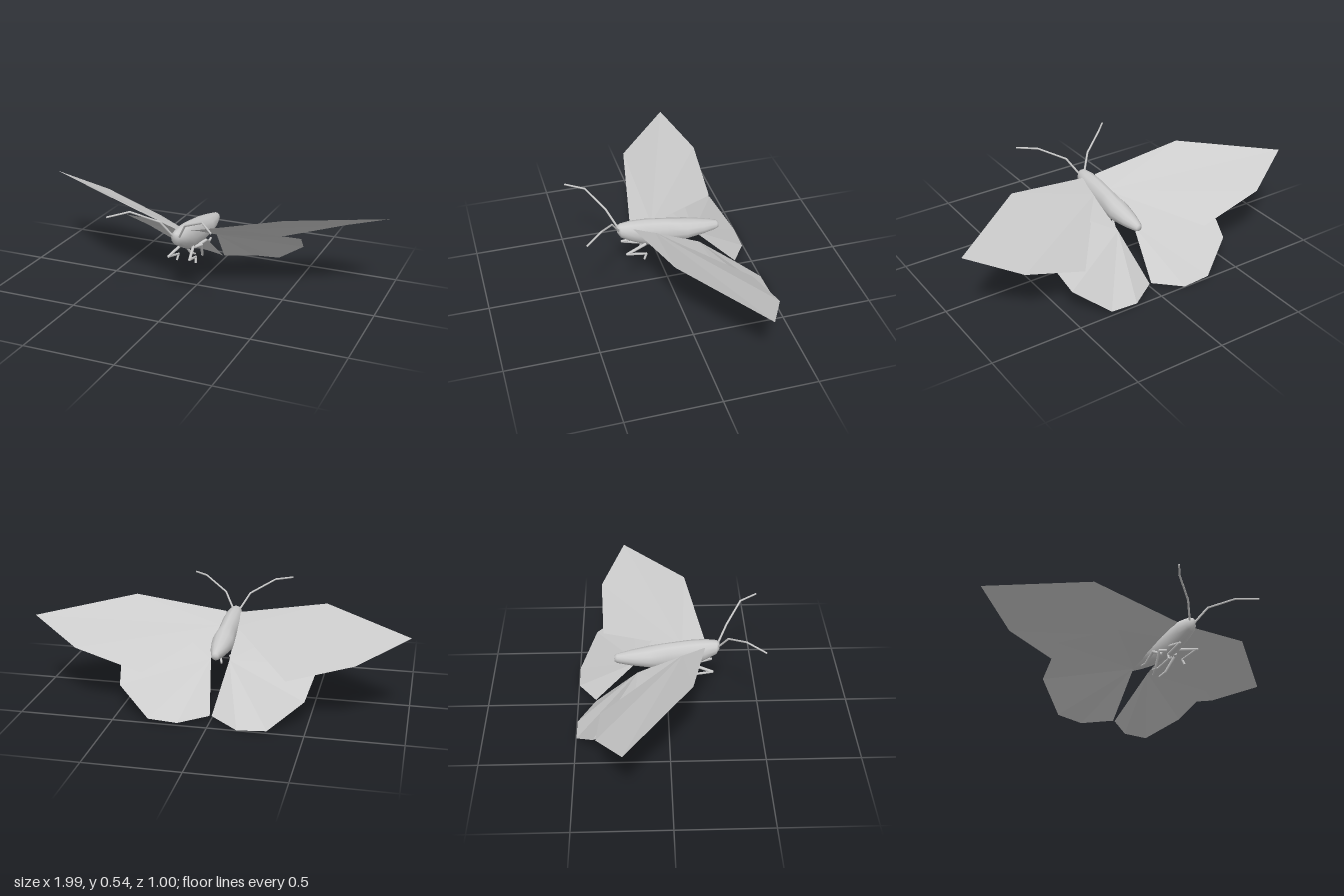
import * as THREE from 'three';
import { mergeVertices } from 'three/addons/utils/BufferGeometryUtils.js';

const bodyMat = new THREE.MeshStandardMaterial({ color: 0xcccccc });
const wingMat = new THREE.MeshStandardMaterial({ color: 0xcccccc, side: THREE.DoubleSide, flatShading: true });

// Body cross-sections, head to tail: z, centre y, half width, half height
const SECTIONS = [
  [0.28, 0.385, 0, 0],
  [0.278, 0.385, 0.018, 0.022],
  [0.262, 0.375, 0.035, 0.04],
  [0.2, 0.36, 0.05, 0.06],
  [0.12, 0.339, 0.053, 0.078],
  [0, 0.325, 0.051, 0.075],
  [-0.1, 0.32, 0.06, 0.059],
  [-0.2, 0.315, 0.044, 0.042],
  [-0.275, 0.312, 0.024, 0.026],
  [-0.288, 0.312, 0.016, 0.017],
  [-0.29, 0.312, 0, 0],
];

// Left-side wing outlines; each is a fan around its first point
const FOREWING = [
  [0.04, 0.355, 0.08], [0.04, 0.4, 0.2], [0.53, 0.497, 0.11],
  [0.995, 0.455, -0.238], [0.73, 0.335, -0.372], [0.38, 0.22, -0.36],
];
const HINDWING = [
  [0.05, 0.25, -0.165], [0.04, 0.355, 0.08], [0.29, 0.365, 0], [0.53, 0.285, -0.2],
  [0.485, 0.157, -0.4], [0.31, 0.024, -0.497], [0.155, 0.014, -0.497], [0.005, 0.025, -0.4],
];

// Left-side limbs: paths and radii
const ANTENNA = [[0.015, 0.385, 0.27], [0.07, 0.475, 0.32], [0.2, 0.54, 0.403], [0.285, 0.53, 0.497]];
const LEGS = {
  frontLeg: [[0.035, 0.285, 0.13], [0.06, 0.255, 0.24], [0.05, 0.23, 0.132], [0.055, 0.198, 0.145]],
  middleLeg: [[0.03, 0.272, 0.1], [0.055, 0.276, 0.065], [0.035, 0.195, 0.008], [0.022, 0.175, -0.027]],
  hindLeg: [[0.03, 0.265, 0.06], [0.06, 0.285, 0.018], [0.045, 0.247, -0.065], [0.04, 0.25, -0.105]],
};

function makeBody() {
  const rows = SECTIONS.length - 1;
  let geo = new THREE.CylinderGeometry(1, 1, 1, 12, rows, true).rotateX(Math.PI / 2);
  const p = geo.attributes.position;
  for (let i = 0; i < p.count; i++) {
    const [z, cy, rx, ry] = SECTIONS[Math.round((0.5 - p.getZ(i)) * rows)];
    p.setXYZ(i, p.getX(i) * rx, cy + p.getY(i) * ry, z);
  }
  geo.deleteAttribute('uv');
  geo.deleteAttribute('normal');
  geo = mergeVertices(geo, 1e-5);
  geo.computeVertexNormals();
  const mesh = new THREE.Mesh(geo, bodyMat);
  mesh.name = 'body';
  return mesh;
}

// Thin wing from its outline; lift nudges the outer points up or down
function makeWing(name, outline, side, lift) {
  const pts = outline.map(([x, y, z]) => [x * side, y + (x > 0.06 ? lift : 0), z]);
  const index = [];
  for (let i = 1; i < pts.length - 1; i++) {
    index.push(...(side > 0 ? [0, i, i + 1] : [0, i + 1, i]));
  }
  const geo = new THREE.BufferGeometry();
  geo.setAttribute('position', new THREE.Float32BufferAttribute(pts.flat(), 3));
  geo.setIndex(index);
  geo.computeVertexNormals();
  const mesh = new THREE.Mesh(geo, wingMat);
  mesh.name = name;
  return mesh;
}

// Jointed limb: one slim cylinder per segment, a ball at each bend
function makeLimb(name, path, side, r0, r1) {
  const limb = new THREE.Group();
  limb.name = name;
  const pts = path.map(([x, y, z]) => new THREE.Vector3(x * side, y, z));
  const n = pts.length - 1;
  const radius = (i) => THREE.MathUtils.lerp(r0, r1, i / n);
  for (let i = 0; i < n; i++) {
    const dir = pts[i + 1].clone().sub(pts[i]);
    const seg = new THREE.Mesh(new THREE.CylinderGeometry(radius(i + 1), radius(i), dir.length(), 6), bodyMat);
    seg.name = 'segment';
    seg.position.copy(pts[i]).addScaledVector(dir, 0.5);
    seg.quaternion.setFromUnitVectors(new THREE.Vector3(0, 1, 0), dir.normalize());
    limb.add(seg);
    if (i > 0) {
      const joint = new THREE.Mesh(new THREE.SphereGeometry(radius(i), 6, 4), bodyMat);
      joint.name = 'joint';
      joint.position.copy(pts[i]);
      limb.add(joint);
    }
  }
  return limb;
}

export function createModel() {
  const model = new THREE.Group();
  model.name = 'butterfly';
  model.add(makeBody());
  for (const [side, label] of [[1, 'left'], [-1, 'right']]) {
    // The wings are rolled very slightly, so the right pair sits a touch differently
    model.add(makeWing(label + 'Forewing', FOREWING, side, side > 0 ? 0 : 0.013));
    model.add(makeWing(label + 'Hindwing', HINDWING, side, side > 0 ? 0 : -0.012));
    model.add(makeLimb(label + 'Antenna', ANTENNA, side, 0.006, 0.005));
    for (const [leg, path] of Object.entries(LEGS)) {
      model.add(makeLimb(label + leg[0].toUpperCase() + leg.slice(1), path, side, 0.009, 0.006));
    }
  }
  return model;
}
